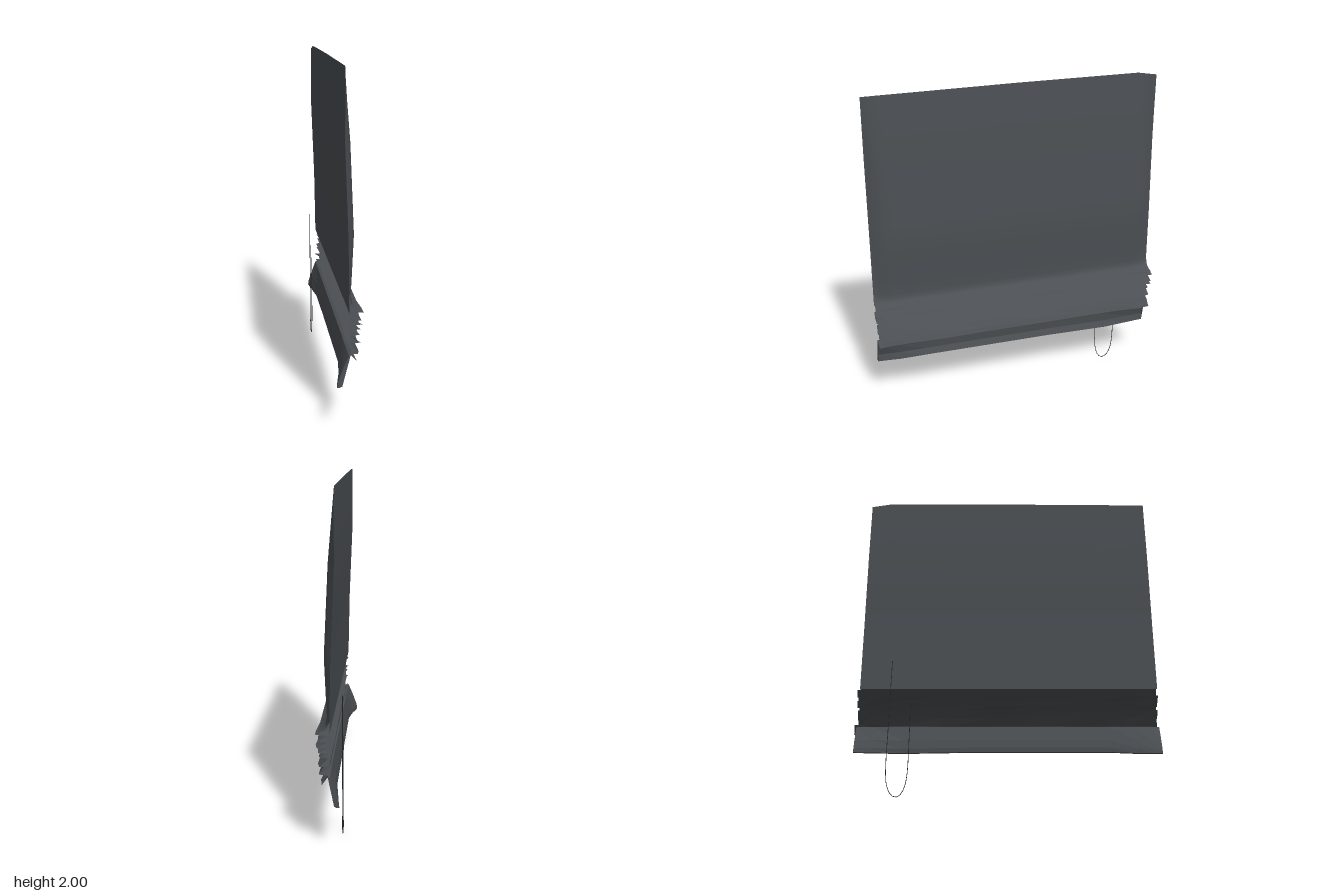
import * as THREE from 'three';

// Skin a row of cross-sections: section(z) returns [x, y, z] points from top to bottom
function loft(stations, section, { closed = false, flat = false } = {}) {
  const pos = [], idx = [];
  let n = 0;
  for (const z of stations) {
    const pts = section(z);
    n = pts.length;
    pts.forEach(p => pos.push(...p));
  }
  const rows = stations.length, cols = closed ? n : n - 1;
  for (let i = 0; i < rows - 1; i++) {
    for (let j = 0; j < cols; j++) {
      const k = (j + 1) % n;
      const a = i * n + j, b = i * n + k, c = a + n, d = b + n;
      idx.push(a, c, b, b, c, d);
    }
  }
  if (closed) {
    const e = (rows - 1) * n;
    for (let j = 1; j < n - 1; j++) idx.push(0, j, j + 1, e, e + j + 1, e + j);
  }
  let g = new THREE.BufferGeometry();
  g.setAttribute('position', new THREE.Float32BufferAttribute(pos, 3));
  g.setIndex(idx);
  if (flat) g = g.toNonIndexed();
  g.computeVertexNormals();
  return g;
}

// Linear interpolation through [y, x] pairs listed from top to bottom
function curveX(pairs, y) {
  for (let i = 0; i < pairs.length - 1; i++) {
    const [y0, x0] = pairs[i], [y1, x1] = pairs[i + 1];
    if (y >= y1) return THREE.MathUtils.lerp(x1, x0, Math.min(1, (y - y1) / (y0 - y1)));
  }
  return pairs[pairs.length - 1][1];
}

export function createModel() {
  const group = new THREE.Group();
  const fabric = new THREE.MeshStandardMaterial({ color: 0x4b4f53, side: THREE.DoubleSide });
  fabric.name = 'charcoal fabric';
  const cordMat = new THREE.MeshStandardMaterial({ color: 0x25272a });
  cordMat.name = 'dark cord';

  const add = (name, geometry, material = fabric) => {
    const mesh = new THREE.Mesh(geometry, material);
    mesh.name = name;
    group.add(mesh);
  };
  let seed = 11;
  const rand = () => ((seed = (seed * 16807) % 2147483647) / 2147483647) * 2 - 1;

  // Hanging panel: a bowed front layer and a flat lining that meet at the side hems
  const front = [[2, -0.03], [1.6, 0.003], [1.1, 0.025], [0.85, 0.014], [0.76, 0.009], [0.715, 0.02], [0.69, 0.057]];
  const hemLine = [[2, -0.035], [1.6, -0.035], [1.1, -0.016], [0.76, -0.01], [0.715, 0.01], [0.69, 0.068]];
  const lining = [[2, -0.034], [1.6, -0.036], [1.1, -0.017], [0.76, -0.011], [0.69, -0.01]];
  const levels = [2, 1.8, 1.6, 1.4, 1.2, 1.1, 1, 0.85, 0.76, 0.735, 0.715, 0.69];
  const panelZ = [-0.9, -0.885, -0.86, -0.82, -0.78, -0.6, -0.3, 0, 0.3, 0.6, 0.78, 0.82, 0.86, 0.885, 0.9];
  const panelPoint = (x, y, z) => {
    const droop = y === 2 ? (z < -0.78 ? (-z - 0.78) * 0.17 : z > 0 ? z * 0.008 : 0) : 0;
    const flare = z > 0.85 ? (2 - y) * 0.008 : 0;
    return [x, y - droop, z - Math.sign(z) * 0.005 + flare];
  };
  add('panelFront', loft(panelZ, z => levels.map(y => {
    const bow = 1 - THREE.MathUtils.smoothstep(Math.abs(z), 0.83, 0.9);
    return panelPoint(THREE.MathUtils.lerp(curveX(hemLine, y), curveX(front, y), bow), y, z);
  })));
  add('panelLining', loft([...panelZ].reverse(), z => levels.map(y => panelPoint(curveX(lining, y), y, z))));

  // Gathered folds: each hangs outward, then tucks back underneath
  const pleatZ = [-0.9, -0.84, -0.7, -0.4, -0.1, 0.2, 0.45, 0.7, 0.84, 0.9];
  const folds = [[0.06, 0.65], [0.058, 0.622], [0.052, 0.588], [0.05, 0.556], [0.05, 0.512], [0.045, 0.458], [0.03, 0.41]];
  add('gatheredFolds', loft(pleatZ, z => {
    const end = Math.abs(z) > 0.8 ? 1 : 0;
    const wob = end ? 0.011 : 0.005;
    const pts = [[0.057 + end * 0.011, 0.69, z]];
    folds.forEach(([x, y], i) => {
      const shift = end * rand() * 0.012;
      const last = i === folds.length - 1;
      const above = i ? folds[i - 1][1] : 0.69;
      pts.push([0.002 - end * 0.005 + rand() * wob, above - 0.002 + rand() * wob * 0.6, z + shift]);
      pts.push([x + rand() * wob, last ? y : y + rand() * wob, z + shift + Math.sign(z) * end * 0.005]);
    });
    pts.push([-0.002, 0.45, z]);
    return pts;
  }, { flat: true }));

  // Bottom valance: narrow hollow hem whose two ends kick backward and dip
  const hem = [[0.0, 0.45], [-0.012, 0.38], [-0.017, 0.33], [-0.003, 0.289], [-0.015, 0.284], [-0.031, 0.284], [-0.033, 0.31], [-0.027, 0.36], [-0.01, 0.445]];
  const ramp = (z, from, to) => THREE.MathUtils.clamp((z - from) / (to - from), 0, 1);
  add('bottomValance', loft([-0.9, -0.8, -0.62, -0.2, 0, 0.6, 0.76, 0.84, 0.9], z => {
    const kick = ramp(z, 0.68, 0.88) * 0.044 + ramp(-z, 0.62, 0.9) * 0.033;
    const dip = ramp(z, 0.6, 0.88) * 0.022 + ramp(-z, 0.2, 0.9) * 0.012;
    return hem.map(([x, y]) => {
      const low = (0.45 - y) / 0.165;
      return [x - kick * low, y - dip * low, z];
    });
  }, { closed: true, flat: true }));

  // Pull cord: two strands joined in a loop behind the shade
  const cordPts = [[0.85, -0.7], [0.5, -0.702], [0.13, -0.702], [0.06, -0.69], [0.015, -0.665], [0.003, -0.64],
    [0.015, -0.615], [0.06, -0.592], [0.13, -0.58], [0.35, -0.577], [0.57, -0.578]];
  const cordCurve = new THREE.CatmullRomCurve3(
    cordPts.map(([y, z]) => new THREE.Vector3(-0.068, y, z)), false, 'centripetal');
  add('pullCord', new THREE.TubeGeometry(cordCurve, 60, 0.002, 6), cordMat);

  return group;
}
